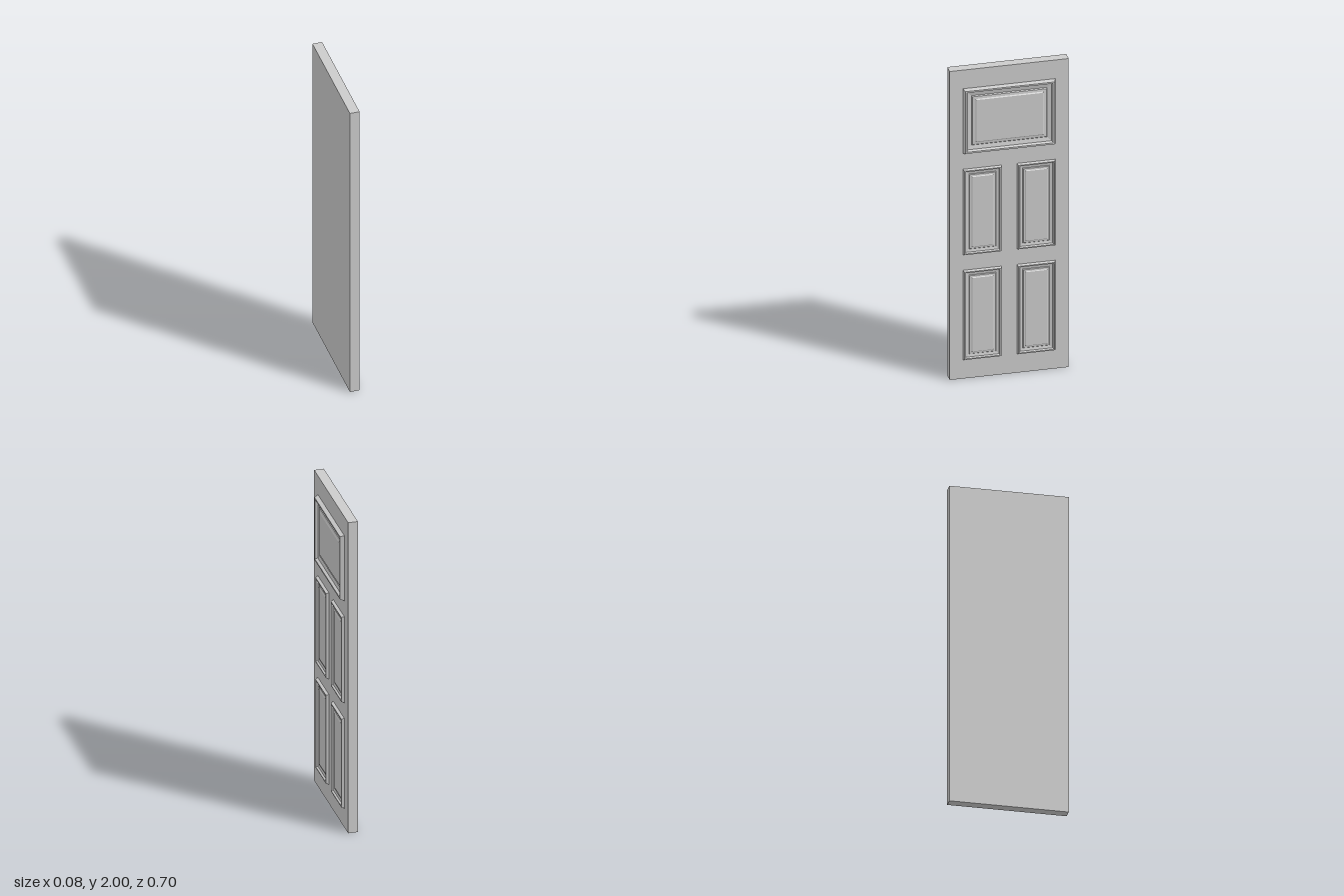
import * as THREE from 'three';

const material = new THREE.MeshStandardMaterial({ color: 0xcccccc, flatShading: true });
const FACE = 0.017; // x of the panelled face

// Moulding section: [inset from the panel edge, height above the face]
const SECTION = [
  [0, 0], [0.008, 0.024], [0.018, 0.024], [0.025, 0.008],
  [0.05, 0.002], [0.055, 0.008], [0.07, 0.01], [0.076, 0.014],
];

// Concentric rectangles following the section, closed by the flat field
function panelGeometry(width, height, scale) {
  const loops = SECTION.map(([inset, rise]) => {
    const z = width / 2 - inset * scale;
    const y = height / 2 - inset * scale;
    return [[-y, -z], [y, -z], [y, z], [-y, z]].map(([b, c]) => [rise * scale, b, c]);
  });
  const positions = [];
  const quad = (a, b, c, d) => positions.push(...a, ...b, ...c, ...a, ...c, ...d);
  for (let k = 0; k < loops.length - 1; k++) {
    for (let i = 0; i < 4; i++) {
      const j = (i + 1) % 4;
      quad(loops[k][i], loops[k][j], loops[k + 1][j], loops[k + 1][i]);
    }
  }
  quad(...loops[loops.length - 1]);
  const geometry = new THREE.BufferGeometry();
  geometry.setAttribute('position', new THREE.Float32BufferAttribute(positions, 3));
  geometry.computeVertexNormals();
  return geometry;
}

export function createModel() {
  const door = new THREE.Group();
  door.name = 'door';

  // Door slab
  const slab = new THREE.Mesh(new THREE.BoxGeometry(0.058, 2, 0.704), material);
  slab.name = 'slab';
  slab.position.set(FACE - 0.029, 1, 0);
  door.add(slab);

  const addPanel = (name, z, y0, y1, width, scale) => {
    const panel = new THREE.Mesh(panelGeometry(width, y1 - y0, scale), material);
    panel.name = name;
    panel.position.set(FACE, (y0 + y1) / 2, z);
    door.add(panel);
  };

  // One wide panel above two rows of paired panels
  addPanel('topPanel', 0, 1.459, 1.879, 0.546, 1);
  for (const side of [-1, 1]) {
    const suffix = side > 0 ? 'Front' : 'Back';
    addPanel('middlePanel' + suffix, side * 0.159, 0.802, 1.357, 0.228, 0.69);
    addPanel('lowerPanel' + suffix, side * 0.159, 0.122, 0.702, 0.228, 0.69);
  }
  return door;
}
